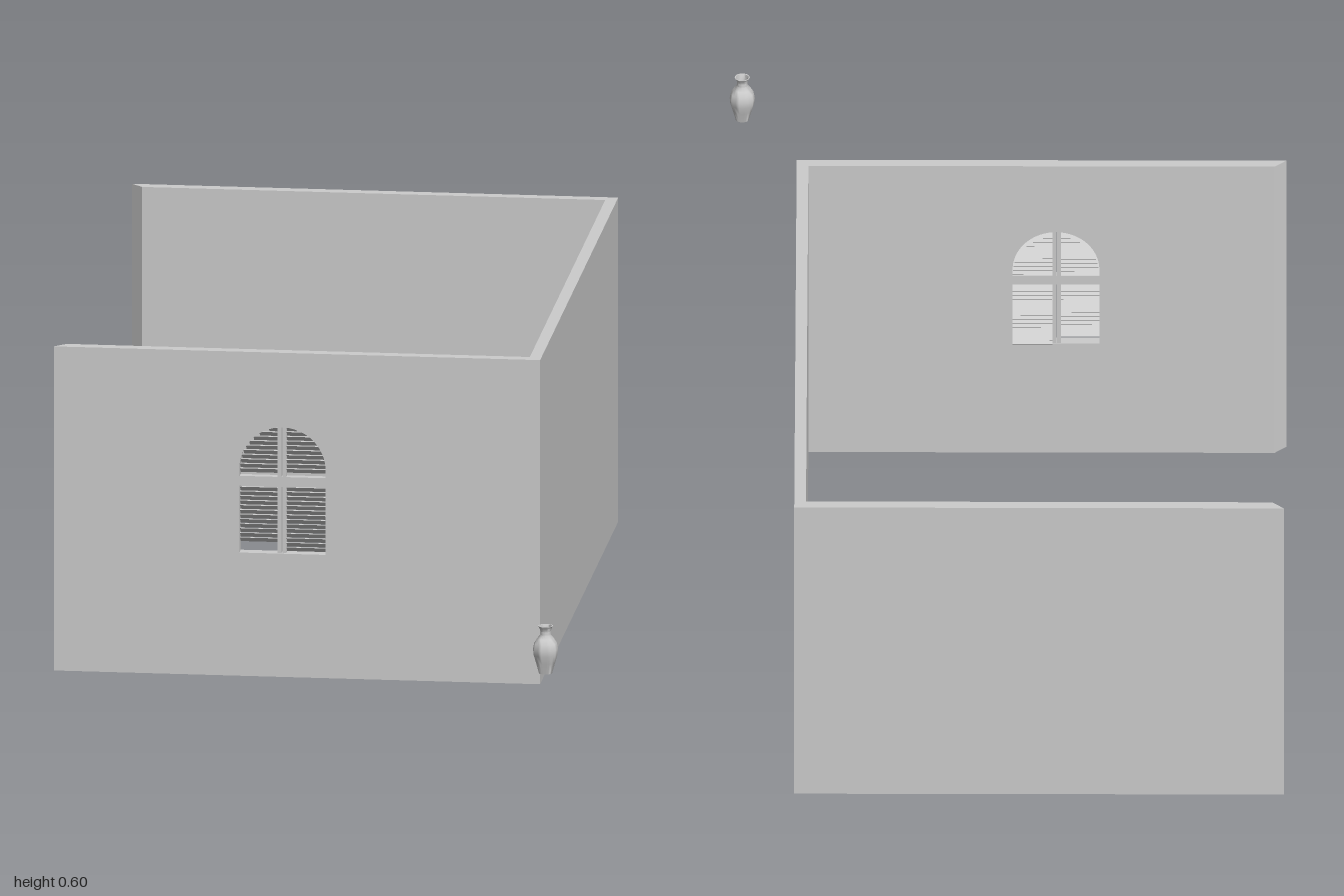
import * as THREE from 'three';
import { toCreasedNormals } from 'three/addons/utils/BufferGeometryUtils.js';

const HEIGHT = 0.597, THICK = 0.021;
const WIN = { x: -0.0875, r: 0.0775, bottom: 0.227, spring: 0.382 };

const grey = new THREE.MeshStandardMaterial({ color: 0xcccccc });
const greyDouble = new THREE.MeshStandardMaterial({ color: 0xcccccc, side: THREE.DoubleSide });

function add(parent, name, geometry, material = grey) {
  const mesh = new THREE.Mesh(geometry, material);
  mesh.name = name;
  parent.add(mesh);
  return mesh;
}

// Arched outline of the window, centred on x = cx
function archPath(cx) {
  const p = new THREE.Path();
  p.moveTo(cx - WIN.r, WIN.bottom);
  p.lineTo(cx + WIN.r, WIN.bottom);
  p.lineTo(cx + WIN.r, WIN.spring);
  p.absarc(cx, WIN.spring, WIN.r, 0, Math.PI, false);
  p.closePath();
  return p;
}

// Wall with its outer face on z = 0 and both ends mitred towards the inside
function wallGeometry(length, hole) {
  const h = length / 2;
  const shape = new THREE.Shape([
    new THREE.Vector2(-h, 0), new THREE.Vector2(h, 0),
    new THREE.Vector2(h, HEIGHT), new THREE.Vector2(-h, HEIGHT),
  ]);
  if (hole) shape.holes.push(hole);
  const geo = new THREE.ExtrudeGeometry(shape, { depth: THICK, bevelEnabled: false, curveSegments: 24 });
  geo.translate(0, 0, -THICK);
  const pos = geo.attributes.position;
  for (let i = 0; i < pos.count; i++) {
    const x = pos.getX(i);
    if (pos.getZ(i) < -THICK / 2 && Math.abs(x) > h - 1e-4) pos.setX(i, x - Math.sign(x) * THICK);
  }
  return toCreasedNormals(geo, 0.5);
}

function buildWindow() {
  const win = new THREE.Group();
  win.name = 'shutteredWindow';
  const z = 0.192, top = WIN.spring + WIN.r;

  // Paired centre stiles
  for (const s of [-1, 1]) {
    add(win, 'centreStile', new THREE.BoxGeometry(0.007, top - WIN.bottom, 0.014))
      .position.set(WIN.x - 0.0015 + s * 0.0042, (top + WIN.bottom) / 2, z);
  }
  // Cross rail
  add(win, 'crossRail', new THREE.BoxGeometry(WIN.r * 2, 0.018, 0.014))
    .position.set(WIN.x, 0.358, z);

  // Louvre slats, sloping down towards the room; the left leaf stops short of the sill
  const pitch = 0.0085;
  for (const s of [-1, 1]) {
    const start = s < 0 ? 0.248 : 0.232;
    for (let y = start; y < top - 0.004; y += pitch) {
      if (Math.abs(y - 0.358) < 0.011) continue;
      const dy = Math.max(0, y + 0.003 - WIN.spring);
      const outer = Math.sqrt(Math.max(0, WIN.r ** 2 - dy ** 2));
      const inner = s < 0 ? 0.009 : 0.006;
      if (outer - inner < 0.004) continue;
      const slat = add(win, 'louvreSlat', new THREE.BoxGeometry(outer - inner, 0.0012, 0.017));
      slat.position.set(WIN.x + s * (outer + inner) / 2, y, 0.188);
      slat.rotation.x = -Math.PI / 5;
    }
  }
  return win;
}

function vaseGeometry() {
  // Outer profile from foot to lip, then back down the inside
  const profile = [
    [0, 0], [0.012, 0], [0.0135, 0.006], [0.0175, 0.02], [0.0215, 0.034], [0.0225, 0.044],
    [0.0205, 0.055], [0.015, 0.064], [0.0095, 0.071], [0.009, 0.077], [0.011, 0.083],
    [0.0135, 0.087], [0.0115, 0.087], [0.0075, 0.077], [0.008, 0.07], [0.018, 0.054],
    [0.0195, 0.042], [0.011, 0.004], [0, 0.003],
  ].map(([r, y]) => new THREE.Vector2(r, y));
  return toCreasedNormals(new THREE.LatheGeometry(profile, 24), 0.8);
}

export function createModel() {
  const model = new THREE.Group();
  model.name = 'walledRoomWithVase';

  const left = -0.499, right = 0.376, front = 0.204, back = -1;
  const width = right - left, depth = front - back, cx = (left + right) / 2;

  // Three walls of the room, open on one side
  add(model, 'frontWall', wallGeometry(width, archPath(WIN.x - cx))).position.set(cx, 0, front);
  const rear = add(model, 'backWall', wallGeometry(width));
  rear.position.set(cx, 0, back);
  rear.rotation.y = Math.PI;
  const side = add(model, 'sideWall', wallGeometry(depth));
  side.position.set(right, 0, (front + back) / 2);
  side.rotation.y = Math.PI / 2;

  model.add(buildWindow());

  // Vase standing apart in front of the room
  add(model, 'vase', vaseGeometry(), greyDouble).position.set(0.476, 0.216, 0.977);

  return model;
}
